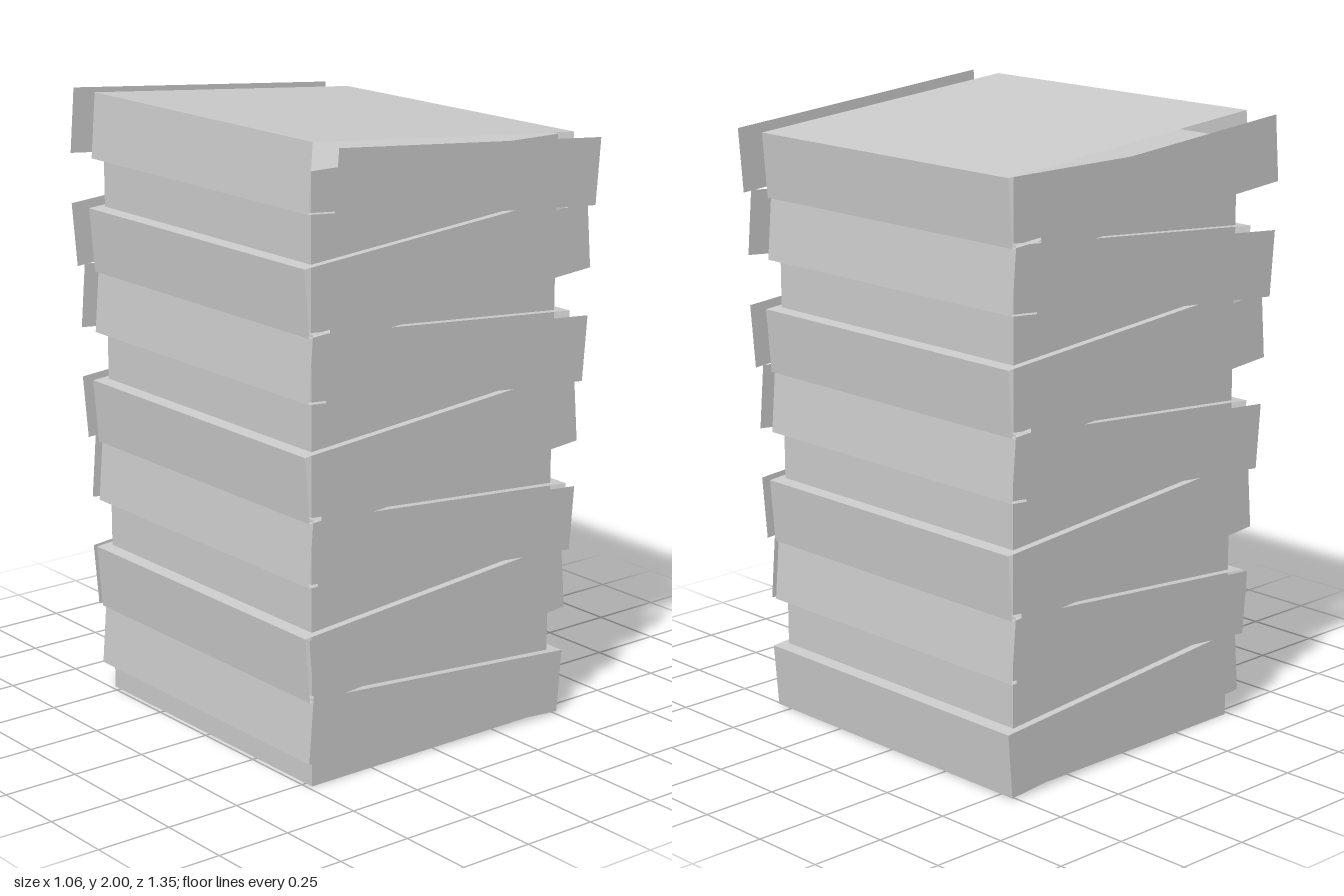
import * as THREE from 'three';

export function createModel() {
  const model = new THREE.Group();
  const grey = new THREE.MeshStandardMaterial({ color: 0xcccccc, side: THREE.DoubleSide });
  grey.name = 'plainGrey';

  // Upright core running through all the layers
  const coreHeight = 1.91;
  const core = new THREE.Mesh(new THREE.BoxGeometry(0.97, coreHeight, 1.06), grey);
  core.name = 'core';
  core.position.y = coreHeight / 2;
  model.add(core);

  // Seven layers, tilted alternately; front and back boards stand further out the higher they are
  const layers = 7, length = 1.03, height = 0.21, halfDepth = 0.555;
  for (let i = 0; i < layers; i++) {
    const side = i % 2 === 0 ? 1 : -1;
    const layer = new THREE.Group();
    layer.name = 'tiltedLayer' + (i + 1);
    layer.position.set(0.007 * side, 0.15 + i * 0.2838, 0);
    layer.rotation.z = -0.082 * side;

    // Sleeve: a box without its front and back faces
    const sleeveGeometry = new THREE.BoxGeometry(length, height, halfDepth * 2);
    sleeveGeometry.setIndex([...sleeveGeometry.index.array.slice(0, 24)]);
    sleeveGeometry.clearGroups();
    const sleeve = new THREE.Mesh(sleeveGeometry, grey);
    sleeve.name = 'sleeve';
    layer.add(sleeve);

    // Flat boards in front and behind
    for (const end of [1, -1]) {
      const board = new THREE.Mesh(new THREE.PlaneGeometry(length, height), grey);
      board.name = end > 0 ? 'frontBoard' : 'backBoard';
      board.position.z = end * (halfDepth + i * 0.02);
      if (end < 0) board.rotation.y = Math.PI;
      layer.add(board);
    }
    model.add(layer);
  }
  return model;
}
